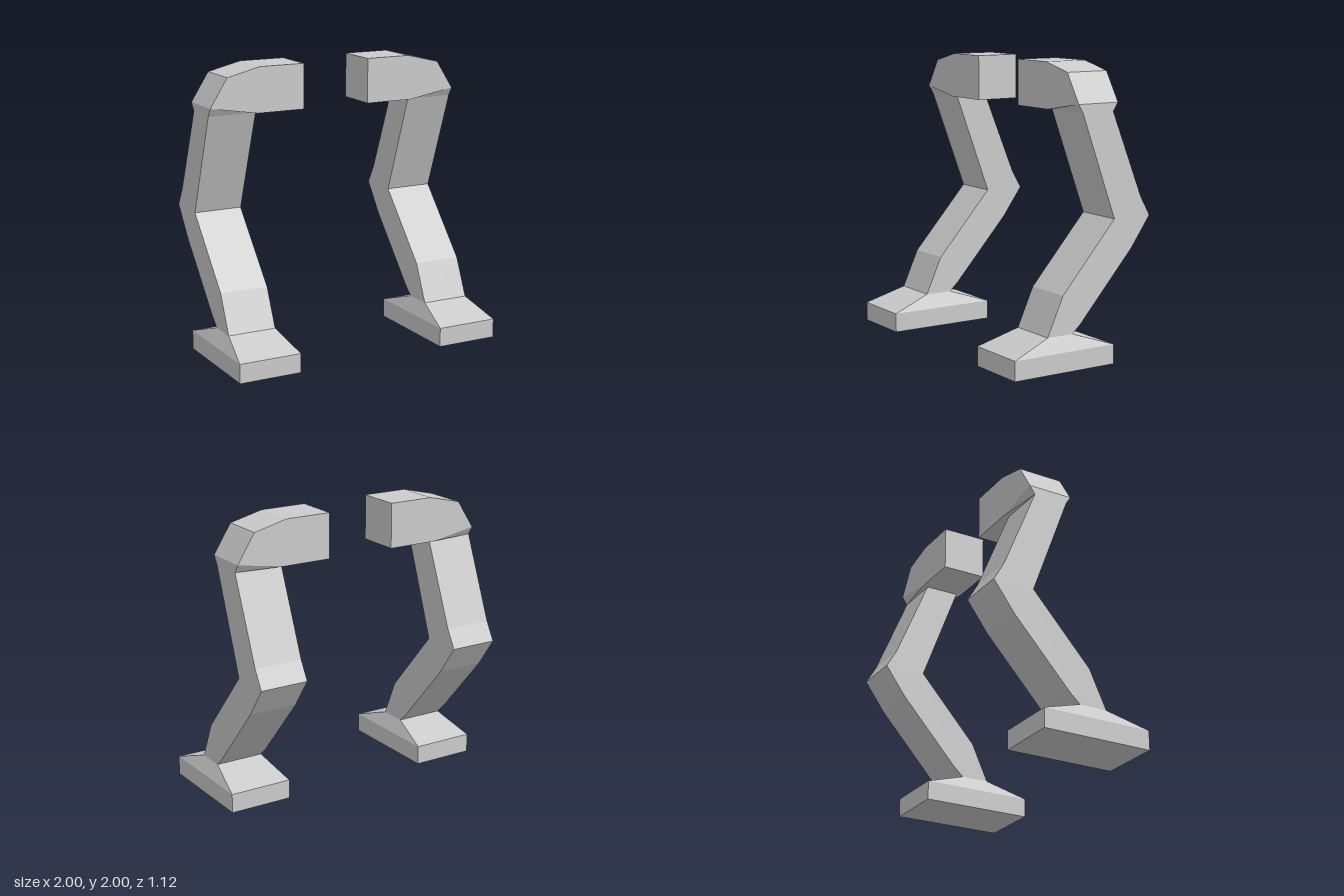
import * as THREE from 'three';

const material = new THREE.MeshStandardMaterial({ color: 0xcccccc, flatShading: true });

// Straight extrusion of a 2D outline
function prism(points, depth) {
  const shape = new THREE.Shape(points.map(([x, y]) => new THREE.Vector2(x, y)));
  return new THREE.ExtrudeGeometry(shape, { depth, bevelEnabled: false });
}

// Closed solid through four-cornered rings, listed bottom to top.
// Corner order: inner front, outer front, outer back, inner back.
function loft(rings) {
  const pos = [];
  const quad = (a, b, c, d) => pos.push(...a, ...b, ...c, ...a, ...c, ...d);
  for (let r = 0; r < rings.length - 1; r++) {
    const lo = rings[r], hi = rings[r + 1];
    for (let i = 0; i < 4; i++) {
      const j = (i + 1) % 4;
      quad(lo[i], lo[j], hi[j], hi[i]);
    }
  }
  const [a, b, c, d] = rings[0];
  quad(d, c, b, a);
  quad(...rings[rings.length - 1]);
  const geo = new THREE.BufferGeometry();
  geo.setAttribute('position', new THREE.Float32BufferAttribute(pos, 3));
  geo.computeVertexNormals();
  return geo;
}

const ring = (x0, x1, zBack, zFront, yInner, yOuter = yInner) => [
  [x0, yInner, zFront], [x1, yOuter, zFront], [x1, yOuter, zBack], [x0, yInner, zBack],
];

// Mirror across x = 0, swapping two corners of each face to keep it outward
function mirrored(source) {
  const src = source.getAttribute('position');
  const pos = [];
  for (let i = 0; i < src.count; i += 3) {
    for (const k of [i, i + 2, i + 1]) pos.push(-src.getX(k), src.getY(k), src.getZ(k));
  }
  const geo = new THREE.BufferGeometry();
  geo.setAttribute('position', new THREE.Float32BufferAttribute(pos, 3));
  geo.computeVertexNormals();
  return geo;
}

export function createModel() {
  const x0 = 0.6, x1 = 0.947;

  // Bent thigh and shin, outlined as [z, y]
  const legOutline = [
    [0, 1.685], [-0.265, 0.97], [0.15, 0.5], [0.27, 0.235], [0.07, 0.235],
    [0, 0.3], [-0.41, 0.76], [-0.56, 0.97], [-0.485, 1.1], [-0.245, 1.685],
  ];
  const leg = prism(legOutline.map(([z, y]) => [-z, y]), x1 - x0)
    .rotateY(Math.PI / 2).translate(x0, 0, 0);

  // Hip block with a chamfered outer shoulder, outlined as [x, y]
  const hip = prism([
    [0.25, 1.685], [x0, 1.685], [x1, 1.743], [0.82, 1.942], [0.58, 2], [0.25, 2],
  ], 0.318).translate(0, 0, -0.283);

  // Flared wedge joining thigh to hip
  const hipJoint = loft([
    ring(x0, x1, -0.245, 0, 1.685),
    ring(x0, x1, -0.283, 0.035, 1.685, 1.743),
  ]);

  // Foot slab sloping up to the ankle
  const foot = loft([
    ring(0.55, 1, -0.23, 0.56, 0),
    ring(0.55, 1, -0.23, 0.56, 0.135),
    ring(x0, x1, 0.07, 0.27, 0.235),
  ]);

  const model = new THREE.Group();
  model.name = 'legs';
  const parts = { leg, hip, hipJoint, foot };
  for (const side of ['left', 'right']) {
    const limb = new THREE.Group();
    limb.name = `${side}Limb`;
    for (const [name, geo] of Object.entries(parts)) {
      const mesh = new THREE.Mesh(side === 'left' ? geo : mirrored(geo), material);
      mesh.name = side + name[0].toUpperCase() + name.slice(1);
      limb.add(mesh);
    }
    model.add(limb);
  }
  return model;
}
